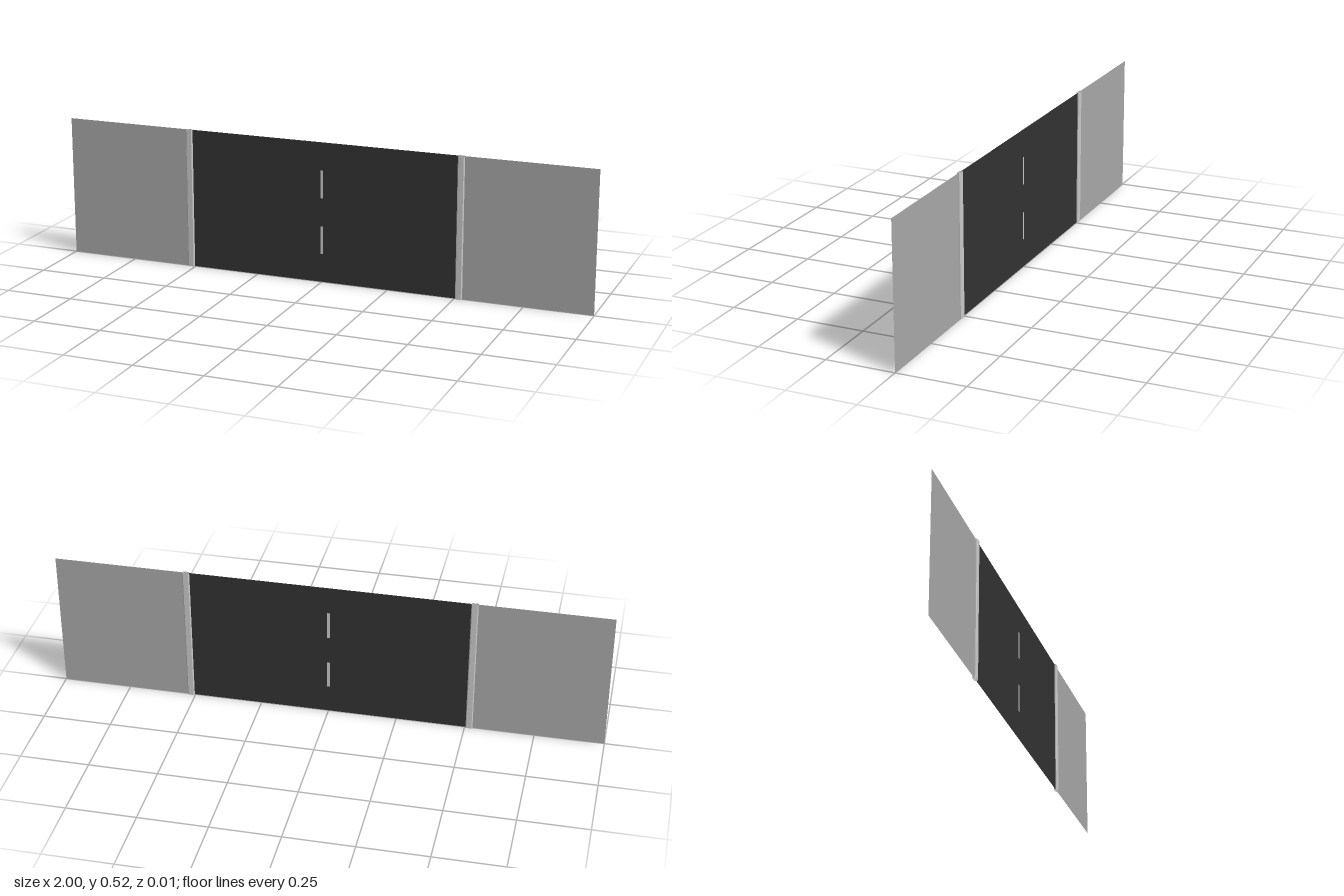
import * as THREE from 'three';

const HEIGHT = 0.518;

const grey = new THREE.MeshStandardMaterial({ color: 0xcccccc, flatShading: true, side: THREE.DoubleSide });
const paving = new THREE.MeshStandardMaterial({ color: 0xaaaaaa, side: THREE.DoubleSide });
const asphalt = new THREE.MeshStandardMaterial({ color: 0x333333, side: THREE.DoubleSide });

// Upright flat panel between two x and two y positions
function panel(name, x0, x1, y0, y1, z, material) {
  const mesh = new THREE.Mesh(new THREE.PlaneGeometry(x1 - x0, y1 - y0), material);
  mesh.position.set((x0 + x1) / 2, (y0 + y1) / 2, z);
  mesh.name = name;
  return mesh;
}

// Open-ended bar whose cross-section is a rectangle with chamfered corners
function chamferedBar(halfX, halfZ, chamfer) {
  const geo = new THREE.CylinderGeometry(1, 1, HEIGHT, 8, 1, true, Math.PI / 8);
  const p = geo.attributes.position;
  const place = (v, half) => Math.sign(v) * (Math.abs(v) > 0.7 ? half : half - chamfer);
  for (let i = 0; i < p.count; i++) {
    p.setX(i, place(p.getX(i), halfX));
    p.setZ(i, place(p.getZ(i), halfZ));
  }
  geo.computeVertexNormals();
  return geo;
}

export function createModel() {
  const model = new THREE.Group();
  model.name = 'roadSection';

  // Road surface
  model.add(panel('road', -0.504, 0.504, 0, HEIGHT, 0, asphalt));

  // Centre line dashes, visible on both faces
  for (const y of [0.105, 0.313]) {
    for (const z of [0.001, -0.001]) {
      model.add(panel('laneDash', -0.005, 0.005, y, y + 0.103, z, grey));
    }
  }

  // Kerb and pavement on each side
  const kerbGeo = chamferedBar(0.0125, 0.0065, 0.003);
  for (const [side, s] of [['left', 1], ['right', -1]]) {
    const kerb = new THREE.Mesh(kerbGeo, grey);
    kerb.position.set(s * 0.516, HEIGHT / 2, 0);
    kerb.name = side + 'Kerb';
    model.add(kerb);
    const inner = s > 0 ? 0.526 : -1;
    model.add(panel(side + 'Pavement', inner, inner + 0.474, 0, HEIGHT, 0, paving));
  }
  return model;
}
